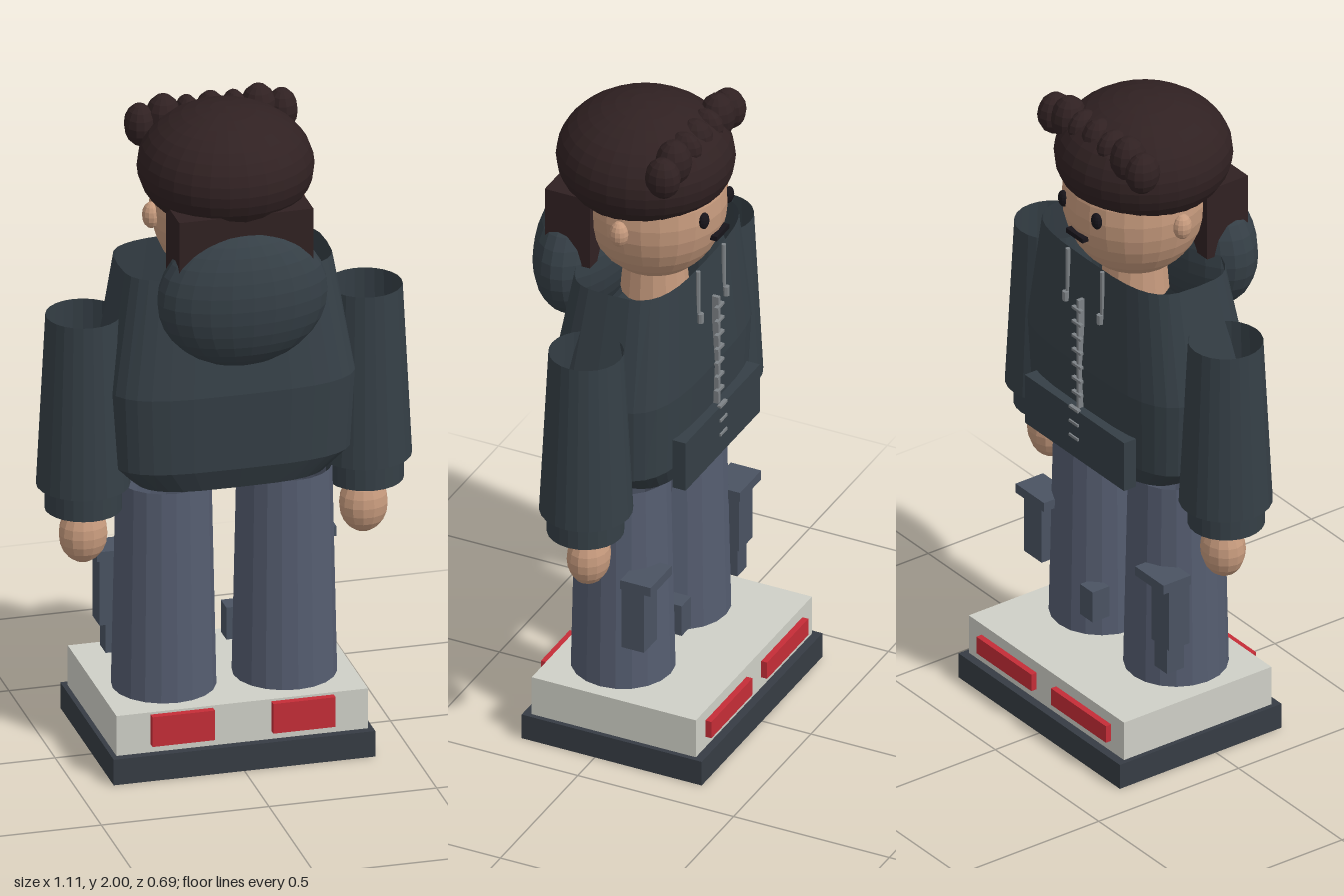
import * as THREE from 'three';

const flat = (name, color, side = THREE.FrontSide) => {
  const m = new THREE.MeshStandardMaterial({ color, side });
  m.name = name;
  m.flatShading = true;
  return m;
};

export function createModel() {
  const model = new THREE.Group();
  const D = THREE.DoubleSide;
  const hoodie = flat('charcoal cloth', 0x353f46, D);
  const soleMat = flat('dark rubber', 0x363c44);
  const denim = flat('slate denim', 0x555d70, D);
  const pocketMat = flat('dark denim', 0x4a5362);
  const white = flat('off white', 0xcfd0c7);
  const red = flat('red', 0xc52d37);
  const skin = flat('skin', 0xc69a7d);
  const hair = flat('dark brown hair', 0x302122);
  const metal = flat('grey metal', 0x7d8286);
  const black = flat('black', 0x17141a);

  const add = (name, geo, mat, x, y, z) => {
    const mesh = new THREE.Mesh(geo, mat);
    mesh.name = name;
    mesh.position.set(x, y, z);
    model.add(mesh);
    return mesh;
  };
  // Box given by its limits on each axis
  const box = (name, mat, x0, x1, y0, y1, z0, z1) =>
    add(name, new THREE.BoxGeometry(x1 - x0, y1 - y0, z1 - z0), mat,
      (x0 + x1) / 2, (y0 + y1) / 2, (z0 + z1) / 2);
  // Ellipsoid given by centre and radii
  const ball = (name, mat, c, r, w = 24, h = 16) =>
    add(name, new THREE.SphereGeometry(1, w, h).scale(...r), mat, ...c);
  // Open upright tube
  const tube = (name, mat, x, z, y0, y1, rTop, rBottom, n = 24) =>
    add(name, new THREE.CylinderGeometry(rTop, rBottom, y1 - y0, n, 1, true), mat, x, (y0 + y1) / 2, z);

  // Shared shoe block
  box('sole', soleMat, -0.39, 0.39, 0, 0.08, -0.343, 0.235);
  box('shoeUpper', white, -0.375, 0.375, 0.08, 0.205, -0.317, 0.21);
  for (const s of [-1, 1]) {
    const cx = s * 0.18;
    box('heelPatch', red, cx - 0.093, cx + 0.093, 0.105, 0.198, 0.205, 0.231);
    box('toePatch', red, cx - 0.133, cx + 0.133, 0.115, 0.17, -0.336, -0.31);
  }

  // Trouser legs with cargo pockets
  for (const s of [-1, 1]) {
    const cx = s * 0.18;
    tube('trouserLeg', denim, cx, 0.013, 0.2, 0.855, 0.138, 0.152, 20);
    const a = s * 0.265, b = s * 0.35;
    box('cargoPocket', pocketMat, Math.min(a, b), Math.max(a, b), 0.37, 0.58, -0.138, -0.065);
    const c = s * 0.22, d = s * 0.357;
    box('pocketFlap', pocketMat, Math.min(c, d), Math.max(c, d), 0.57, 0.6, -0.163, -0.065);
    box('legPatch', pocketMat, cx - 0.15, cx - 0.09, 0.28, 0.38, -0.13, -0.07);
  }

  // Hoodie body: open loft of rounded rectangles [y, half width, back z, front z]
  const rows = [
    [0.868, 0.285, -0.16, 0.18],
    [0.938, 0.36, -0.185, 0.21],
    [1.175, 0.373, -0.195, 0.222],
    [1.525, 0.312, -0.172, 0.162],
  ];
  const N = 32, pos = [], idx = [];
  const power = (v) => Math.sign(v) * Math.abs(v) ** (2 / 3.5);
  rows.forEach(([y, hx, z0, z1], r) => {
    for (let i = 0; i < N; i++) {
      const t = (i / N) * Math.PI * 2;
      pos.push(hx * power(Math.cos(t)), y, (z0 + z1) / 2 + ((z1 - z0) / 2) * power(Math.sin(t)));
      if (r === rows.length - 1) continue;
      const a = r * N + i, b = r * N + ((i + 1) % N);
      idx.push(a, a + N, b, b, a + N, b + N);
    }
  });
  const bodyGeo = new THREE.BufferGeometry();
  bodyGeo.setAttribute('position', new THREE.Float32BufferAttribute(pos, 3));
  bodyGeo.setIndex(idx);
  bodyGeo.computeVertexNormals();
  add('hoodieBody', bodyGeo, hoodie, 0, 0, 0);
  ball('hood', hoodie, [0, 1.485, 0.212], [0.253, 0.215, 0.132]);
  box('pouchPocket', hoodie, -0.24, 0.24, 0.88, 1.04, -0.217, -0.175);

  // Zip and drawstrings
  box('zipTape', metal, -0.006, 0.006, 1.04, 1.4, -0.206, -0.185);
  for (let i = 0; i < 10; i++) {
    const y = 1.37 - i * 0.047, z = y < 1.05 ? -0.222 : -0.212;
    box('zipTooth', metal, -0.022, 0.022, y - 0.004, y + 0.004, z, z + 0.012);
  }
  for (const s of [-1, 1]) {
    add('drawstring', new THREE.CylinderGeometry(0.007, 0.007, 0.16, 8), metal, s * 0.083, 1.445, -0.179);
    add('drawstringTip', new THREE.CylinderGeometry(0.01, 0.01, 0.03, 8), metal, s * 0.083, 1.37, -0.187);
  }

  // Sleeves, cuffs and hands
  for (const s of [-1, 1]) {
    tube('sleeve', hoodie, s * 0.42, 0.013, 0.86, 1.39, 0.109, 0.136);
    tube('cuff', hoodie, s * 0.42, 0.015, 0.785, 0.87, 0.112, 0.112);
    ball('hand', skin, [s * 0.418, 0.7, 0.005], [0.072, 0.089, 0.063], 14, 10);
  }

  // Head and face, looking towards -z
  ball('head', skin, [0, 1.69, 0], [0.212, 0.245, 0.212]);
  add('neck', new THREE.CylinderGeometry(0.09, 0.1, 0.12, 16), skin, 0, 1.44, 0);
  for (const s of [-1, 1]) {
    ball('ear', skin, [s * 0.216, 1.675, 0.009], [0.027, 0.04, 0.029], 12, 8);
    ball('eye', black, [s * 0.08, 1.7, -0.197], [0.02, 0.026, 0.014], 12, 8);
  }
  box('mouth', black, -0.04, 0.04, 1.613, 1.628, -0.218, -0.195);

  // Hair cap, nape and a row of curls
  ball('hairCap', hair, [0, 1.82, 0.03], [0.256, 0.18, 0.26], 28, 18);
  box('napeHair', hair, -0.2, 0.2, 1.52, 1.75, 0.11, 0.255);
  for (const [x, y, r] of [[0, 1.915, 0.046], [0.07, 1.92, 0.036], [0.142, 1.915, 0.053], [0.212, 1.9, 0.046]]) {
    for (const s of x ? [-1, 1] : [1]) {
      ball('curl', hair, [s * x, y, -0.13], [r, r + 0.018, 0.054], 12, 8);
    }
  }
  return model;
}
